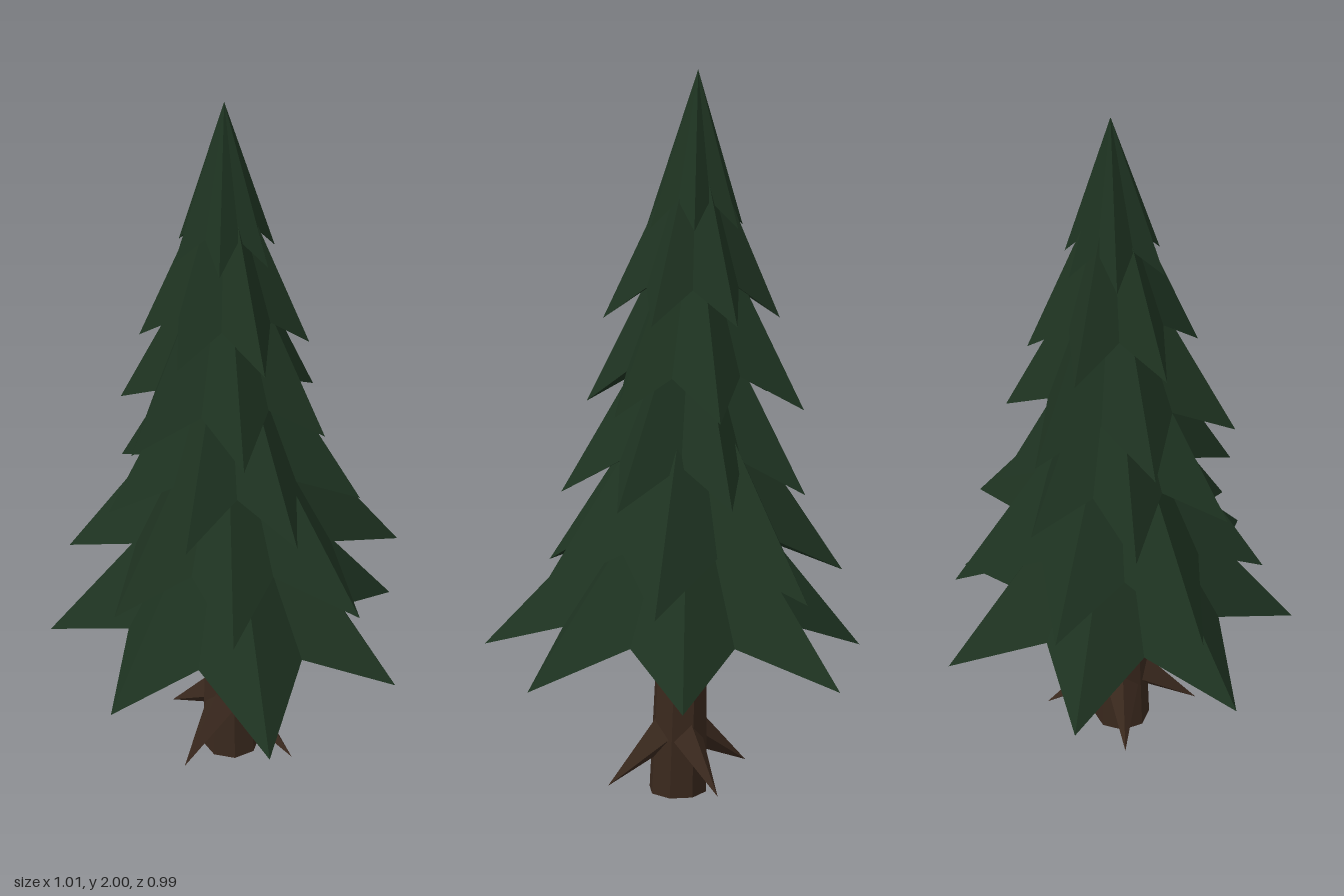
import * as THREE from 'three';

const green = new THREE.MeshStandardMaterial({ color: 0x1e3321, flatShading: true });
green.name = 'needleGreen';
const brown = new THREE.MeshStandardMaterial({ color: 0x39281d, flatShading: true });
brown.name = 'barkBrown';

// the whole tree leans slightly as it rises
const lean = (y) => [-0.0225 * y, -0.015 * y];

// apex height, tip height, valley height, first tip angle (degrees), radius of each tip
const TIERS = [
  [1.02, 0.388, 0.495, 42, [0.575, 0.498, 0.52, 0.52, 0.532, 0.517, 0.522]],
  [1.27, 0.63, 0.74, -0.5, [0.445, 0.41, 0.41, 0.467, 0.442, 0.473, 0.5]],
  [1.48, 0.87, 0.97, 20.5, [0.345, 0.34, 0.345, 0.36, 0.335, 0.32, 0.365]],
  [1.70, 1.10, 1.20, 44, [0.29, 0.325, 0.318, 0.32, 0.305, 0.28]],
  [1.87, 1.34, 1.43, 28, [0.238, 0.22, 0.235, 0.24, 0.23, 0.22]],
  [2.00, 1.585, 1.66, -1, [0.135, 0.145, 0.145, 0.155, 0.135, 0.14]],
];

// star-shaped cone: drooping tips, raised valleys and a hollow underside
function tierGeometry([apexY, tipY, valleyY, phase, radii]) {
  const n = radii.length;
  const [cx, cz] = lean(tipY);
  const [ax, az] = lean(apexY);
  const rim = [];
  for (let i = 0; i < n; i++) {
    const valleyR = 0.305 * (radii[i] + radii[(i + 1) % n]);
    [[0, radii[i], tipY], [0.5, valleyR, valleyY]].forEach(([step, r, y]) => {
      const a = THREE.MathUtils.degToRad(phase + ((i + step) * 360) / n);
      rim.push([cx + r * Math.cos(a), y, cz + r * Math.sin(a)]);
    });
  }
  const apex = [ax, apexY, az];
  const hollow = [cx, valleyY + 0.07, cz];
  const points = [];
  rim.forEach((p, i) => {
    const q = rim[(i + 1) % rim.length];
    points.push(...apex, ...q, ...p, ...hollow, ...p, ...q);
  });
  const geo = new THREE.BufferGeometry();
  geo.setAttribute('position', new THREE.Float32BufferAttribute(points, 3));
  geo.computeVertexNormals();
  return geo;
}

export function createModel() {
  const tree = new THREE.Group();
  tree.name = 'pineTree';
  const add = (name, geo, mat) => {
    const mesh = new THREE.Mesh(geo, mat);
    mesh.name = name;
    tree.add(mesh);
    return mesh;
  };

  // foliage
  TIERS.forEach((tier, i) => add(`foliageTier${i + 1}`, tierGeometry(tier), green));

  // trunk, sheared to follow the lean
  const trunkGeo = new THREE.CylinderGeometry(0.064, 0.083, 0.75, 8).translate(0, 0.375, 0);
  const pos = trunkGeo.attributes.position;
  for (let i = 0; i < pos.count; i++) {
    const [dx, dz] = lean(pos.getY(i));
    pos.setX(i, pos.getX(i) + dx);
    pos.setZ(i, pos.getZ(i) + dz);
  }
  add('trunk', trunkGeo, brown);

  // four drooping spikes around the foot of the trunk
  const start = new THREE.Vector3(0.03, 0.185, 0);
  const tip = new THREE.Vector3(0.222, 0.048, 0);
  const dir = tip.clone().sub(start);
  const spikeGeo = new THREE.ConeGeometry(0.055, dir.length(), 4);
  spikeGeo.translate(0, dir.length() / 2, 0);
  spikeGeo.rotateZ(Math.atan2(dir.y, dir.x) - Math.PI / 2);
  spikeGeo.translate(start.x, start.y, 0);
  for (let i = 0; i < 4; i++) {
    add(`rootSpike${i + 1}`, spikeGeo, brown).rotation.y = (i * Math.PI) / 2;
  }
  return tree;
}
